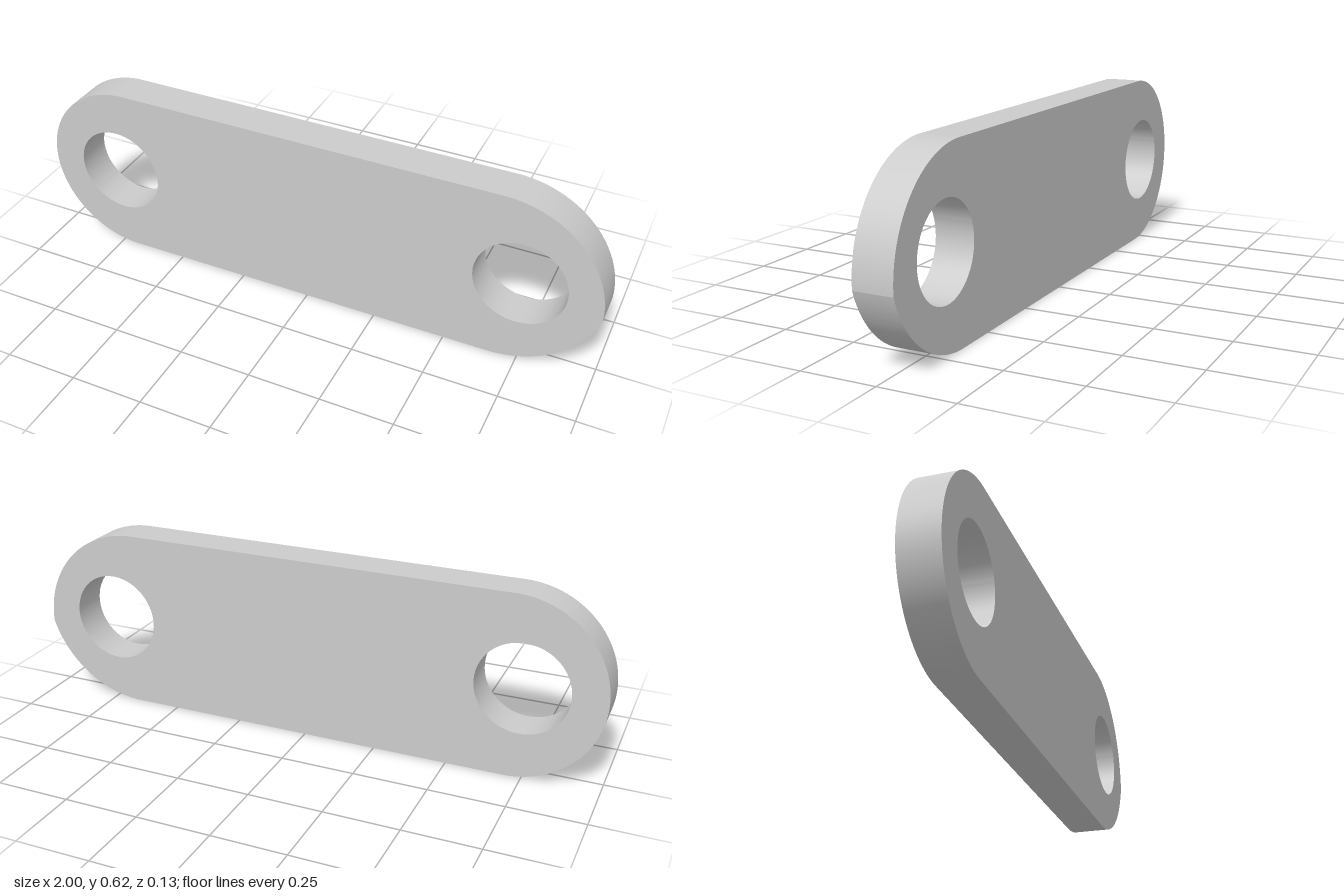
import * as THREE from 'three';
import { toCreasedNormals } from 'three/addons/utils/BufferGeometryUtils.js';

const HEIGHT = 0.622, DEPTH = 0.13, HOLE_X = 0.732, HOLE_R = 0.154;

// Centre height and end angle of an arc that leaves an edge level at x0 and passes through the tip
function addArc(shape, x0, cy, r, from, to) {
  shape.absarc(x0, cy, r, from, to, false);
}

export function createModel() {
  const group = new THREE.Group();
  group.name = 'linkPlate';

  const mid = HEIGHT / 2;
  const rightX = 0.65, tipX = 1, tipY = 0.257, dx = tipX - rightX;

  // Radii of the two right-hand arcs, each tangent to its long edge, meeting at the tip
  const up = HEIGHT - tipY;
  const rLow = (dx * dx + tipY * tipY) / (2 * tipY);
  const rTop = (dx * dx + up * up) / (2 * up);
  const topY = HEIGHT - rTop;

  // Outline, counter-clockwise from the lower left
  const outline = new THREE.Shape();
  outline.moveTo(-1 + mid, 0);
  outline.lineTo(rightX, 0);
  addArc(outline, rightX, rLow, rLow, -Math.PI / 2, Math.atan2(tipY - rLow, dx));
  addArc(outline, rightX, topY, rTop, Math.atan2(tipY - topY, dx), Math.PI / 2);
  outline.lineTo(-1 + mid, HEIGHT);
  addArc(outline, -1 + mid, mid, mid, Math.PI / 2, Math.PI * 1.5);

  // Pin holes
  for (const side of [-1, 1]) {
    const hole = new THREE.Path();
    hole.absarc(side * HOLE_X, mid, HOLE_R, 0, Math.PI * 2, true);
    outline.holes.push(hole);
  }

  const geometry = new THREE.ExtrudeGeometry(outline, {
    depth: DEPTH, bevelEnabled: false, curveSegments: 48,
  });
  geometry.translate(0, 0, -DEPTH / 2);

  const plate = new THREE.Mesh(
    toCreasedNormals(geometry, 0.25),
    new THREE.MeshStandardMaterial({ color: 0xcccccc }),
  );
  plate.name = 'plate';
  group.add(plate);
  return group;
}
